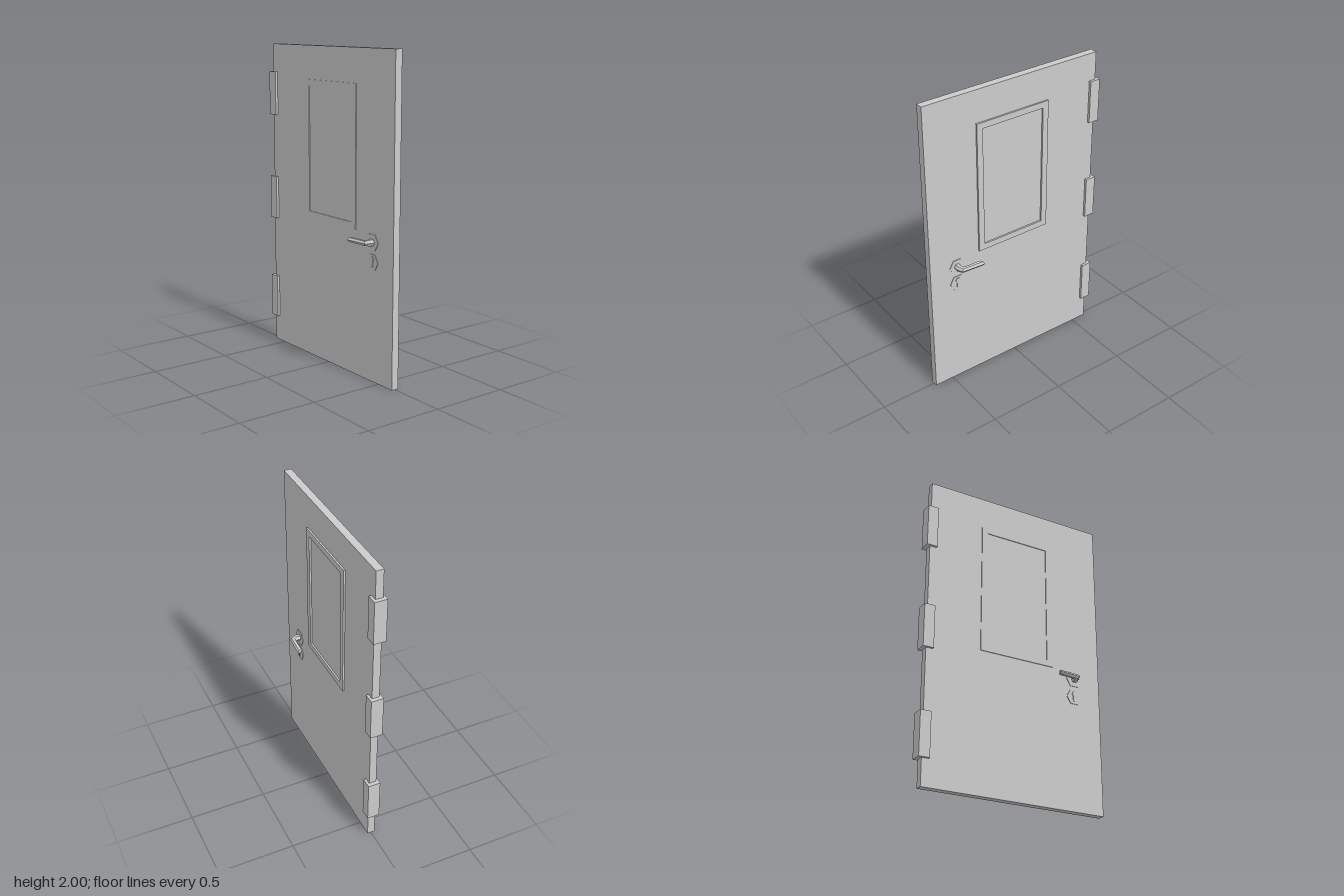
import * as THREE from 'three';

const material = new THREE.MeshStandardMaterial({ color: 0xcccccc, flatShading: true });

function part(name, geometry, x = 0, y = 0, z = 0) {
  const mesh = new THREE.Mesh(geometry, material);
  mesh.name = name;
  mesh.position.set(x, y, z);
  return mesh;
}

// Box given by its limits on each axis
function block(name, x0, x1, y0, y1, z0, z1) {
  return part(name, new THREE.BoxGeometry(x1 - x0, y1 - y0, z1 - z0),
    (x0 + x1) / 2, (y0 + y1) / 2, (z0 + z1) / 2);
}

// Rectangular ring around the window
function windowFrame(name, z0, z1) {
  const rect = (T, x0, x1, y0, y1) => new T([
    new THREE.Vector2(x0, y0), new THREE.Vector2(x1, y0),
    new THREE.Vector2(x1, y1), new THREE.Vector2(x0, y1)]);
  const shape = rect(THREE.Shape, -0.24, 0.275, 0.915, 1.79);
  shape.holes.push(rect(THREE.Path, -0.2, 0.235, 0.955, 1.75));
  const geometry = new THREE.ExtrudeGeometry(shape, { depth: z1 - z0, bevelEnabled: false });
  return part(name, geometry, 0, 0, z0);
}

// Six-sided lever lofted through sections: inner x, inner z, outer x, outer z, half height
function leverGeometry(side) {
  const sections = [
    [0.415, 0.01, 0.458, 0.01, 0.019],
    [0.415, 0.05, 0.458, 0.053, 0.019],
    [0.41, 0.06, 0.44, 0.092, 0.014],
    [0.305, 0.062, 0.285, 0.103, 0.013],
  ];
  const across = [0, 0.25, 0.75, 1, 0.75, 0.25];
  const up = [0, 1, 1, 0, -1, -1];
  const rings = sections.map(([ax, az, bx, bz, h]) => across.map((t, j) =>
    new THREE.Vector3(ax + (bx - ax) * t, up[j] * h, side * (az + (bz - az) * t))));
  const points = [];
  const tri = (a, b, c) => points.push(...(side > 0 ? [a, b, c] : [a, c, b]));
  const tip = rings[rings.length - 1];
  const centre = tip[0].clone().lerp(tip[3], 0.5);
  for (let j = 0; j < 6; j++) {
    const k = (j + 1) % 6;
    for (let i = 0; i < rings.length - 1; i++) {
      tri(rings[i][j], rings[i + 1][k], rings[i][k]);
      tri(rings[i][j], rings[i + 1][j], rings[i + 1][k]);
    }
    tri(centre, tip[k], tip[j]);
  }
  const geometry = new THREE.BufferGeometry().setFromPoints(points);
  geometry.computeVertexNormals();
  return geometry;
}

// Thin hexagonal plate with corners to the left and right, seen on both faces
function hexPlate(name, radius, thickness, x, y) {
  const geometry = new THREE.CylinderGeometry(radius, radius, thickness, 6);
  geometry.rotateY(Math.PI / 6).rotateX(Math.PI / 2);
  return part(name, geometry, x, y, 0);
}

export function createModel() {
  const door = new THREE.Group();
  door.name = 'door';

  // Leaf
  door.add(block('doorLeaf', -0.605, 0.627, 0, 2, -0.024, 0.024));

  // Window surround on both faces
  door.add(windowFrame('frontWindowFrame', 0.02, 0.029));
  door.add(windowFrame('backWindowFrame', -0.035, -0.02));

  // Hinges wrapping the edge
  [0.31, 0.99, 1.68].forEach((y, i) =>
    door.add(block('hinge' + (i + 1), -0.63, -0.56, y - 0.14, y + 0.14, -0.04, 0.04)));

  // Handle and lock plates, through the leaf
  door.add(hexPlate('handlePlate', 0.055, 0.056, 0.435, 0.865));
  door.add(hexPlate('lockPlate', 0.055, 0.056, 0.435, 0.745));

  // Lock cylinder
  door.add(hexPlate('lockCylinder', 0.018, 0.064, 0.435, 0.763));
  door.add(block('lockCylinderSlot', 0.426, 0.444, 0.715, 0.763, -0.032, 0.032));

  // Levers
  door.add(part('frontLever', leverGeometry(1), 0, 0.865, -0.002));
  door.add(part('backLever', leverGeometry(-1), 0, 0.865, -0.002));

  return door;
}
